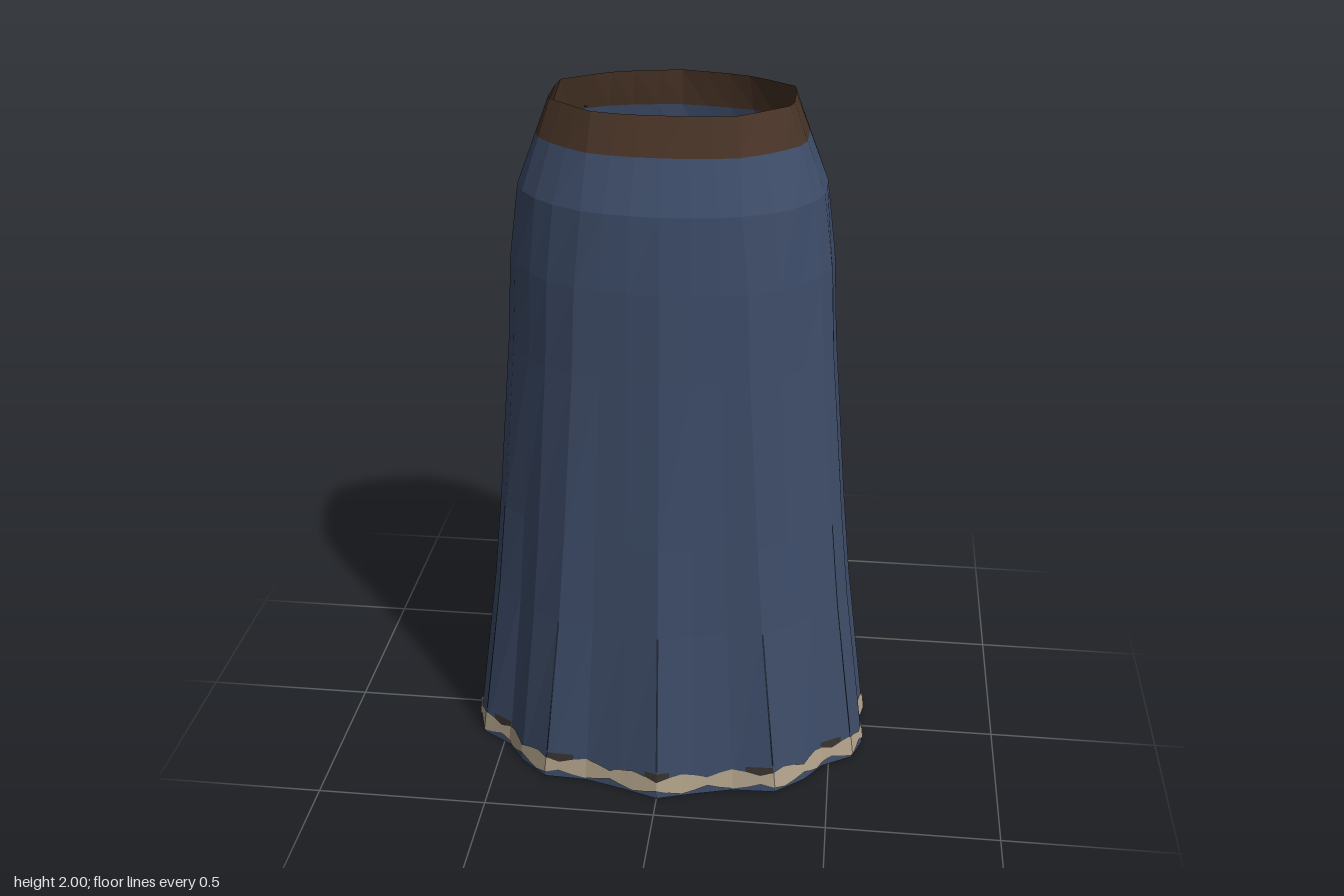
import * as THREE from 'three';

// Half outlines [x, z], running from the front centre round the left side to the back centre
const WAIST = [[0, .2], [.06, .2], [.12, .195], [.19, .18], [.235, .145], [.28, .105], [.315, .075], [.325, .04], [.325, 0],
  [.325, -.06], [.32, -.12], [.28, -.15], [.24, -.18], [.19, -.21], [.13, -.23], [.06, -.245], [0, -.257]];
const HIP = [[0, .295], [.08, .29], [.15, .28], [.21, .265], [.29, .225], [.345, .18], [.39, .12], [.415, .06], [.42, 0],
  [.42, -.06], [.41, -.12], [.36, -.165], [.3, -.21], [.22, -.245], [.15, -.26], [.08, -.268], [0, -.27]];
const HEM = [[0, .425], [.11, .39], [.22, .36], [.345, .355], [.43, .285], [.48, .215], [.57, .16], [.6, .08], [.575, 0],
  [.6, -.08], [.57, -.16], [.48, -.22], [.43, -.29], [.345, -.355], [.23, -.36], [.11, -.395], [0, -.43]];
const N = 32;
// Height and blend: 0 waist, 1 hip, 2 hem
const LEVELS = [[2, 0], [1.9, .42], [1.76, 1], [1.55, 1.15], [1.3, 1.23], [.8, 1.47], [.53, 1.62], [0, 2]];

function blendAt(y) {
  for (let i = 1; i < LEVELS.length; i++) {
    const [y0, b0] = LEVELS[i - 1], [y1, b1] = LEVELS[i];
    if (y >= y1) return b0 + (b1 - b0) * (y0 - y) / (y0 - y1);
  }
  return 2;
}

function corner(i, b) {
  const k = ((i % N) + N) % N, side = k > N / 2 ? -1 : 1, j = k > N / 2 ? N - k : k;
  const [p, q, t] = b < 1 ? [WAIST[j], HIP[j], b] : [HIP[j], HEM[j], b - 1];
  return [side * (p[0] + (q[0] - p[0]) * t), p[1] + (q[1] - p[1]) * t];
}

// Point on the cloth at ring position u and height y, moved outward by off
function surf(u, y, off = 0) {
  const b = blendAt(y), i = Math.floor(u + 1e-6), t = Math.max(0, u - i);
  const p = corner(i, b), q = corner(i + 1, b);
  const x = p[0] + (q[0] - p[0]) * t, z = p[1] + (q[1] - p[1]) * t;
  const s = 1 + off / Math.hypot(x, z);
  return new THREE.Vector3(x * s, y, z * s);
}

// Each quad: [u0, u1, bottom at u0, bottom at u1, top at u0, top at u1]
function clothMesh(name, quads, material, off = 0) {
  const pos = [];
  for (const [u0, u1, b0, b1, t0, t1] of quads) {
    const a = surf(u0, b0, off), b = surf(u1, b1, off), c = surf(u1, t1, off), d = surf(u0, t0, off);
    for (const v of [a, b, c, a, c, d]) pos.push(v.x, v.y, v.z);
  }
  const g = new THREE.BufferGeometry();
  g.setAttribute('position', new THREE.Float32BufferAttribute(pos, 3));
  g.computeVertexNormals();
  const m = new THREE.Mesh(g, material);
  m.name = name;
  return m;
}

function rings(levels) {
  const quads = [];
  for (let l = 1; l < levels.length; l++)
    for (let i = 0; i < N; i++) {
      const hi = levels[l - 1][0], lo = levels[l][0];
      quads.push([i, i + 1, lo, lo, hi, hi]);
    }
  return quads;
}

function makeMaterial(name, color) {
  const m = new THREE.MeshStandardMaterial({ color });
  m.name = name;
  m.side = THREE.DoubleSide;
  return m;
}

export function createModel() {
  const group = new THREE.Group();
  group.name = 'skirt';
  const blue = makeMaterial('denim blue', 0x3d4c68);
  const brown = makeMaterial('belt brown', 0x483326);
  const tan = makeMaterial('trim tan', 0xb5a58c);
  const dark = makeMaterial('trim dark', 0x38332f);
  const seam = makeMaterial('seam navy', 0x222b3b);
  const lace = makeMaterial('lace dark brown', 0x1f1712);

  // Cloth and waistband
  group.add(clothMesh('skirtCloth', rings(LEVELS.slice(1)), blue));
  group.add(clothMesh('waistband', rings(LEVELS.slice(0, 2)), brown));

  // Scalloped hem trim, on the outside and the inside
  const beads = [], gaps = [], half = [.014, .026, .034, .026], mid = .042;
  for (let k = 0; k < N * 3; k++) {
    const h0 = half[k % 4], h1 = half[(k + 1) % 4];
    beads.push([k / 3, (k + 1) / 3, mid - h0, mid - h1, mid + h0, mid + h1]);
    if (k % 8 === 0 || k % 8 === 7) gaps.push([k / 3, (k + 1) / 3, .045, .045, .084, .084]);
  }
  for (const side of [1, -1]) {
    const place = side > 0 ? 'outer' : 'inner';
    group.add(clothMesh(place + 'HemScallops', beads, tan, side * .004));
    group.add(clothMesh(place + 'HemGaps', gaps, dark, side * .002));
  }

  // Fine pleat lines rising from the hem
  const lines = [];
  for (const i of [0, 3, 6, 10, 13, 16, 19, 22, 26, 29]) {
    const top = i === 6 || i === 26 ? .8 : .53;
    for (const s of [-1, 0]) {
      const u0 = i + N + s * .025, u1 = u0 + .025;
      lines.push([u0, u1, .09, .09, .53, .53]);
      if (top > .53) lines.push([u0, u1, .53, .53, top, top]);
    }
  }
  group.add(clothMesh('pleatLines', lines, seam, .002));

  // Two lace ends hanging from the waistband
  for (const [u, end] of [[19.85, 1.74], [20.1, 1.71]]) {
    const path = new THREE.CatmullRomCurve3([surf(20, 1.91, .004), surf(20, 1.86, .014),
      surf(u, 1.8, .014), surf(u, end, .014)]);
    const m = new THREE.Mesh(new THREE.TubeGeometry(path, 8, .006, 5), lace);
    m.name = 'laceEnd';
    group.add(m);
  }
  return group;
}
